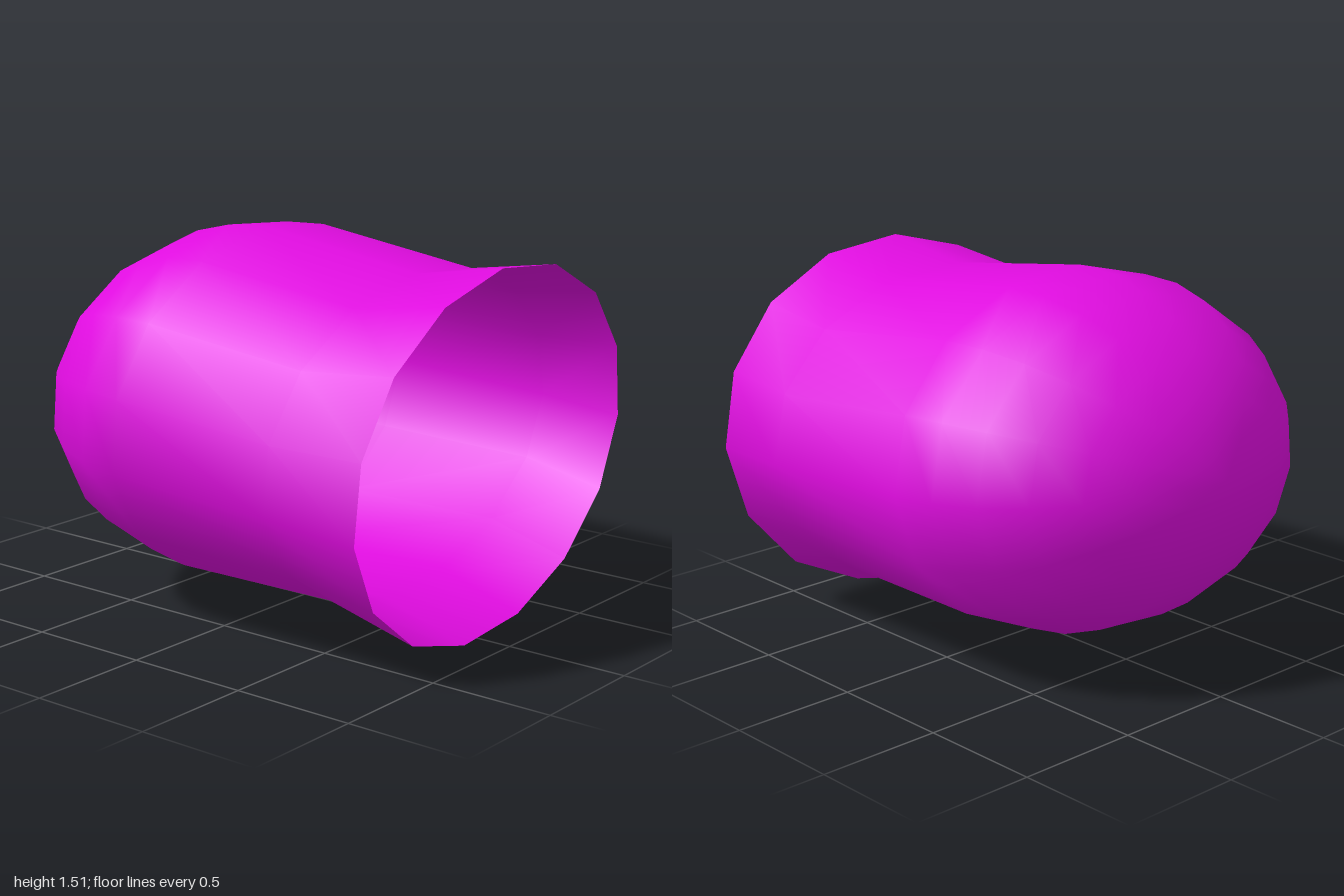
import * as THREE from 'three';

const SIDES = 15;
const DOME_STEPS = 7;

// A ring: centre (x, y), tilt = x shift at its top, half height ry, half depth rz
const ring = (x, y, tilt, ry, rz) => ({ x, y, tilt, ry, rz });

function shellGeometry(pole, rings) {
  const pos = [pole.x, pole.y, 0];
  for (const r of rings) {
    for (let j = 0; j < SIDES; j++) {
      const t = Math.PI + (j / SIDES) * Math.PI * 2;
      const s = Math.sin(t);
      pos.push(r.x + r.tilt * s, r.y + r.ry * s, 0.01 + r.rz * Math.cos(t));
    }
  }
  const id = (i, j) => 1 + i * SIDES + (j % SIDES);
  const index = [];
  for (let j = 0; j < SIDES; j++) {
    index.push(0, id(0, j), id(0, j + 1));
    for (let i = 0; i < rings.length - 1; i++) {
      const a = id(i, j), b = id(i, j + 1), c = id(i + 1, j), d = id(i + 1, j + 1);
      index.push(a, c, b, b, c, d);
    }
  }
  const geo = new THREE.BufferGeometry();
  geo.setAttribute('position', new THREE.Float32BufferAttribute(pos, 3));
  geo.setIndex(index);
  geo.computeVertexNormals();
  return geo;
}

export function createModel() {
  const group = new THREE.Group();
  group.name = 'openDomedCap';

  const base = ring(-0.185, 0.805, 0.065, 0.709, 0.91);
  const pole = { x: -1, y: 0.855 };
  const rings = [];

  // Rounded closed end, from near the pole to the widest ring
  for (let k = DOME_STEPS - 1; k >= 0; k--) {
    const a = (k / DOME_STEPS) * Math.PI / 2;
    const s = Math.sin(a), c = Math.cos(a);
    rings.push(ring(
      base.x + (pole.x - base.x) * s,
      base.y + (pole.y - base.y) * s,
      base.tilt * c, base.ry * c, base.rz * c));
  }

  // Narrow waist and flared, tilted open rim
  rings.push(ring(0.55, 0.76, 0.06, 0.648, 0.91));
  rings.push(ring(0.93, 0.733, 0.07, 0.737, 0.873));

  const shell = new THREE.Mesh(
    shellGeometry(pole, rings),
    new THREE.MeshStandardMaterial({ color: 0xe00ce0, side: THREE.DoubleSide }));
  shell.name = 'shell';
  group.add(shell);
  return group;
}
